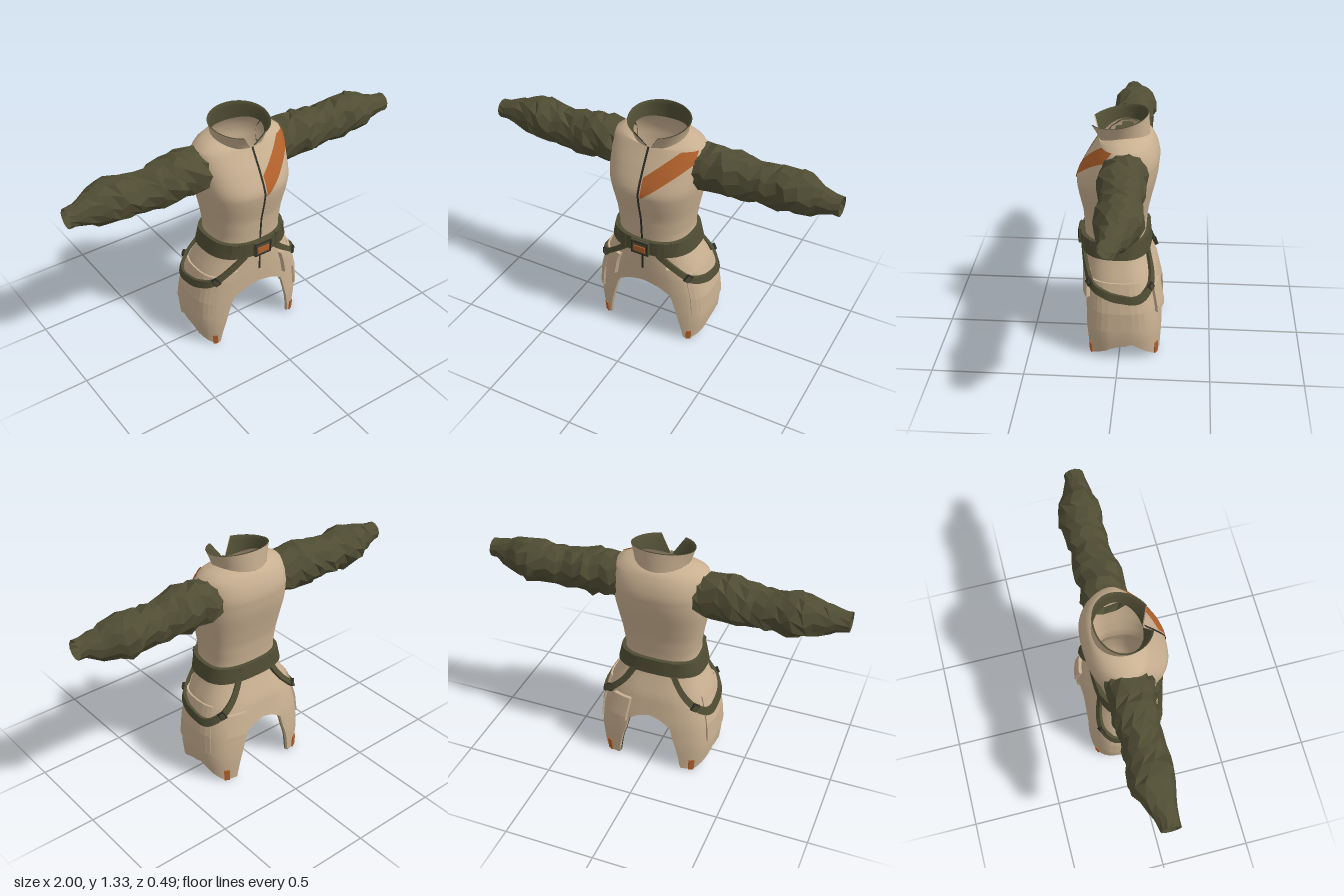
import * as THREE from 'three';
import { mergeVertices } from 'three/addons/utils/BufferGeometryUtils.js';

const mat = (name, color) => Object.assign(new THREE.MeshStandardMaterial({ color, side: THREE.DoubleSide }), { name });
const RAD = Math.PI / 180;
const lerp = THREE.MathUtils.lerp;

// Body sections: y, half width, front z, back z, corner exponent
const SECTIONS = [
  [0.00, 0.315, 0.185, 0.230, 0.55], [0.15, 0.335, 0.195, 0.235, 0.60],
  [0.30, 0.325, 0.197, 0.225, 0.66], [0.45, 0.290, 0.200, 0.195, 0.72],
  [0.55, 0.240, 0.200, 0.155, 0.78], [0.62, 0.208, 0.200, 0.130, 0.78],
  [0.70, 0.205, 0.203, 0.133, 0.78], [0.80, 0.220, 0.210, 0.143, 0.78],
  [0.90, 0.240, 0.232, 0.165, 0.78], [0.97, 0.253, 0.243, 0.182, 0.78],
  [1.02, 0.258, 0.225, 0.192, 0.78], [1.10, 0.260, 0.182, 0.200, 0.80],
  [1.16, 0.258, 0.145, 0.188, 0.86], [1.20, 0.248, 0.122, 0.168, 0.95],
];
function table(rows, t) {
  let i = 0;
  while (i < rows.length - 2 && t > rows[i + 1][0]) i++;
  const a = rows[i], b = rows[i + 1];
  const k = THREE.MathUtils.clamp((t - a[0]) / (b[0] - a[0]), 0, 1);
  return a.map((v, n) => lerp(v, b[n], k));
}
// Rounded oval: angle 0 is the front, 90 the left side
function oval(deg, w, f, b, e) {
  const s = Math.sin(deg * RAD), c = Math.cos(deg * RAD);
  return [w * Math.sign(s) * Math.abs(s) ** e, (c > 0 ? f : b) * Math.sign(c) * Math.abs(c) ** e];
}
function surf(deg, y, off = 0) {
  const [, w, f, b, e] = table(SECTIONS, y);
  const [x, z] = oval(deg, w + off, f + off, b + off, e);
  return [x, y, z];
}
function frontZ(x, y) {
  const [, w, f, , e] = table(SECTIONS, y);
  return f * Math.max(0, 1 - Math.min(1, Math.abs(x / w)) ** (2 / e)) ** (e / 2);
}

// Surface from a grid of points, smooth or faceted
function grid(nu, nv, fn, { flip = false, flat = false, skip = null } = {}) {
  const pos = [], idx = [];
  for (let j = 0; j <= nv; j++) for (let i = 0; i <= nu; i++) pos.push(...fn(i, j));
  for (let j = 0; j < nv; j++) for (let i = 0; i < nu; i++) {
    const a = j * (nu + 1) + i, b = a + 1, d = a + nu + 1, c = d + 1;
    if (skip && skip(pos.slice(a * 3, a * 3 + 3), pos.slice(c * 3, c * 3 + 3))) continue;
    idx.push(...(flip ? [a, c, b, a, d, c] : [a, b, c, a, c, d]));
  }
  let g = new THREE.BufferGeometry();
  g.setAttribute('position', new THREE.Float32BufferAttribute(pos, 3));
  g.setIndex(idx);
  g = flat ? g.toNonIndexed() : mergeVertices(g);
  g.computeVertexNormals();
  return g;
}
// Plate that follows the body; a negative offset lays it on the inside
function patch(s, d0, d1, y0, y1, off) {
  const n = 8, m = 5;
  const at = (i, count) => THREE.MathUtils.clamp((i - 1) / count, 0, 1);
  return grid(n + 2, m + 2, (i, j) => {
    const edge = i === 0 || j === 0 || i === n + 2 || j === m + 2;
    return surf(s * lerp(d0, d1, at(i, n)), lerp(y0, y1, at(j, m)), edge ? 0 : off);
  }, { flip: (s < 0) !== (off < 0), flat: true });
}
// Webbing along [angle, y] points laid on the body
function webbing(s, pts, width, o0, o1, steps) {
  const curve = new THREE.CatmullRomCurve3(pts.map(([d, y]) => new THREE.Vector3(d * RAD * 0.28, y, 0)));
  return grid(4, steps, (i, j) => {
    const p = curve.getPoint(j / steps), t = curve.getTangent(j / steps);
    const k = i % 4, side = (k === 0 || k === 3 ? 1 : -1) * width / 2;
    const d = (p.x - t.y * side) / 0.28 / RAD;
    return surf(s * d, p.y + t.x * side, k < 2 ? o1 : o0);
  }, { flip: s < 0, flat: true });
}

export function createModel() {
  const cloth = mat('sand cloth', 0xc9b091), olive = mat('olive cloth', 0x504d34);
  const orange = mat('orange', 0xb3622c), metal = mat('dark metal', 0x2f2e28);
  const root = new THREE.Group();
  root.name = 'jacket';
  const add = (name, geo, m) => {
    const mesh = new THREE.Mesh(geo, m);
    mesh.name = name;
    root.add(mesh);
    return mesh;
  };
  const box = (name, m, size, p, ry = 0, rz = 0) => {
    const b = add(name, new THREE.BoxGeometry(...size), m);
    b.position.set(...p);
    b.rotation.set(0, ry, rz);
  };

  // Torso with open armholes, closing over the shoulders to the neck
  const neck = (d) => {
    const c = Math.cos(d * RAD), [x, z] = oval(d, 0.15, 0.122, 0.145, 1);
    return [x, 1.24 - 0.0325 * c * c - 0.0175 * c, z];
  };
  add('torso', grid(64, 26, (i, j) => {
    const d = 180 + i * 360 / 64;
    if (j <= 24) return surf(d, 0.6 + j * 0.025);
    const a = surf(d, 1.2), b = neck(d), k = j === 25 ? 0.5 : 1;
    return a.map((v, n) => lerp(v, b[n], k) + (n === 1 && j === 25 ? 0.006 : 0));
  }, {
    skip: (a, c) => Math.abs(a[0]) > 0.15
      && Math.hypot((a[1] + c[1]) / 2 - 1.08, (a[2] + c[2]) / 2 + 0.01) < 0.09,
  }), cloth);

  // Standing collar, open in a V at the front, with olive inside
  const collar = (i, v, off) => {
    const t = i / 40, lo = neck(lerp(2, 358, t)), d = lerp(24, 336, t);
    const [x, z] = oval(d, 0.17 - off, 0.17 - off, 0.138 - off, 1);
    const hi = [x, 1.305 - 0.027 * Math.cos(d * RAD), z];
    return lo.map((q, n) => lerp(n === 1 ? q : q * (1 - off * 6), hi[n], v));
  };
  add('collar', grid(40, 4, (i, j) => collar(i, j / 4, 0)), cloth);
  add('collarLining', grid(40, 5, (i, j) => (j === 0 ? collar(i, 1, 0) : collar(i, 1 - (j - 1) / 4, 0.008))), olive);

  // Skirt: arched at front and back, with long pointed tails at each side
  const HEM = [[0, 0.37], [10, 0.35], [20, 0.312], [22, 0.28], [27, 0.15], [36, 0.012], [45, 0.004], [80, 0.05],
    [97, 0.1], [115, 0.05], [137, 0.004], [157, 0.012], [165, 0.21], [167, 0.285], [174, 0.32], [180, 0.34]];
  const half = HEM.slice(0, -1).flatMap(([d], i) => [0, 1, 2, 3].map((k) => lerp(d, HEM[i + 1][0], k / 4)));
  const angles = [-180, ...half.slice(1).reverse().map((d) => -d), ...half, 180];
  const n = angles.length - 1;
  const hemY = (d) => table(HEM, Math.abs(d))[1];
  const skirt = (i, v, off) => surf(angles[i], lerp(hemY(angles[i]), 0.63, v), off);
  add('skirt', grid(n, 12, (i, j) => skirt(i, j / 12, 0)), cloth);
  add('skirtLining', grid(n, 13, (i, j) => (j === 13 ? skirt(i, 0, 0) : skirt(i, 1 - j / 12, -0.012))), cloth);

  // Olive facing inside the back arch
  add('backArchFacing', grid(48, 1, (i, j) => {
    const t = (i - 24) / 24, d = 180 - 23 * t, y = hemY(180 - 23 * Math.abs(t));
    const out = Math.min(1, Math.abs(t) * 1.6);
    return surf(d - Math.sign(t) * 9 * out * j, y + j * lerp(0.04, 0.01, out), -0.018);
  }), olive);

  // Front zip and the orange chest stripe
  add('zip', grid(2, 40, (i, j) => {
    const x = (i - 1) * 0.006, y = lerp(0.46, 1.2, j / 40);
    return [x, y, frontZ(x, y) + 0.005];
  }), metal);
  add('chestStripe', grid(24, 8, (i, j) => {
    const u = i / 24, x = lerp(0.012, 0.24, u);
    const top = Math.min(1.2, lerp(1.06, 1.26, u)), low = lerp(0.95, 1.14, u);
    const y = lerp(low, top, j / 8);
    return [x + 0.003 * u, y + 0.002, frontZ(x, y) + 0.005];
  }), orange);

  // Belt with loops and buckle
  add('belt', webbing(1, [[0, 0.622], [90, 0.625], [180, 0.632], [270, 0.625], [360, 0.622]], 0.086, 0, 0.022, 64), olive);
  for (const s of [1, -1]) for (const d of [24, 46, 155]) {
    const p = surf(s * d, 0.625, 0.019), q = surf(s * d + 2, 0.625, 0.019);
    box('beltLoop', olive, [0.035, 0.092, 0.016], p, Math.atan2(p[2] - q[2], q[0] - p[0]));
  }
  box('buckle', olive, [0.105, 0.085, 0.03], [0, 0.62, 0.22]);
  for (const s of [1, -1]) {
    box('buckleRim', metal, [0.1, 0.006, 0.008], [0, 0.62 + s * 0.036, 0.236]);
    box('buckleRim', metal, [0.006, 0.078, 0.008], [s * 0.047, 0.62, 0.236]);
  }
  box('buckleButton', orange, [0.07, 0.034, 0.008], [0, 0.614, 0.237]);

  // Crumpled sleeves: x, centre y, centre z, radius in y, radius in z
  const ARM = [[0.21, 1.083, -0.018, 0.122, 0.122], [0.30, 1.083, -0.018, 0.126, 0.122], [0.42, 1.08, -0.018, 0.122, 0.118],
    [0.52, 1.068, -0.022, 0.108, 0.108], [0.64, 1.072, -0.028, 0.108, 0.112], [0.75, 1.08, -0.03, 0.116, 0.118],
    [0.84, 1.077, -0.025, 0.096, 0.096], [0.91, 1.075, -0.014, 0.07, 0.07], [0.95, 1.083, -0.008, 0.056, 0.055],
    [1.0, 1.082, -0.005, 0.052, 0.052]];
  const hash = (a, b) => {
    const h = Math.sin(a * 127.1 + b * 311.7) * 43758.5453;
    return h - Math.floor(h) - 0.5;
  };
  const sides = 11, steps = 15;
  for (const s of [1, -1]) {
    add(s > 0 ? 'leftSleeve' : 'rightSleeve', grid(sides, steps, (i, j) => {
      const k = i % sides, a = (k + (j % 2) * 0.4) / sides * Math.PI * 2;
      const inner = j > 0 && j < steps;
      const x = lerp(0.21, 1, j / steps) + (inner ? hash(k + 5, j + s) * 0.04 : 0);
      const [, cy, cz, ry, rz] = table(ARM, x);
      const fold = 1.02 + (inner ? 0.05 * Math.sin(j * 1.9 + 2 * a) + 0.17 * hash(k, j + 3 * s) : 0);
      return [s * x, cy + Math.sin(a) * ry * fold, cz + Math.cos(a) * rz * fold];
    }, { flip: s > 0, flat: true }), olive);
  }

  // Pockets, hip straps and hem tabs on both sides
  add('backPouch', patch(1, 142, 166, 0.27, 0.42, 0.018), cloth);
  for (const s of [1, -1]) {
    add('sidePocket', patch(s, 48, 116, 0.19, 0.465, 0.01), cloth);
    add('frontPouch', patch(s, 24, 42, 0.35, 0.5, 0.02), cloth);
    add('hipStrap', webbing(s, [[18, 0.59], [34, 0.515], [52, 0.445], [75, 0.412], [104, 0.378], [130, 0.42], [146, 0.49], [157, 0.6]],
      0.04, 0.006, 0.024, 40), olive);
    for (const [d, y, tilt] of [[50, 0.452, -0.7], [134, 0.434, 0.6]]) {
      const p = surf(s * d, y, 0.024), q = surf(s * d + 2, y, 0.024);
      const ry = Math.atan2(p[2] - q[2], q[0] - p[0]);
      box('strapSlider', metal, [0.036, 0.046, 0.012], p, ry, s * tilt);
      box('strapSliderCentre', olive, [0.024, 0.034, 0.018], p, ry, s * tilt);
    }
    for (const off of [0.006, -0.019]) {
      add('hemTab', patch(s, 40, 49, 0.006, 0.065, off), orange);
      add('hemTab', patch(s, 137, 146, 0.006, 0.075, off), orange);
    }
  }
  return root;
}
